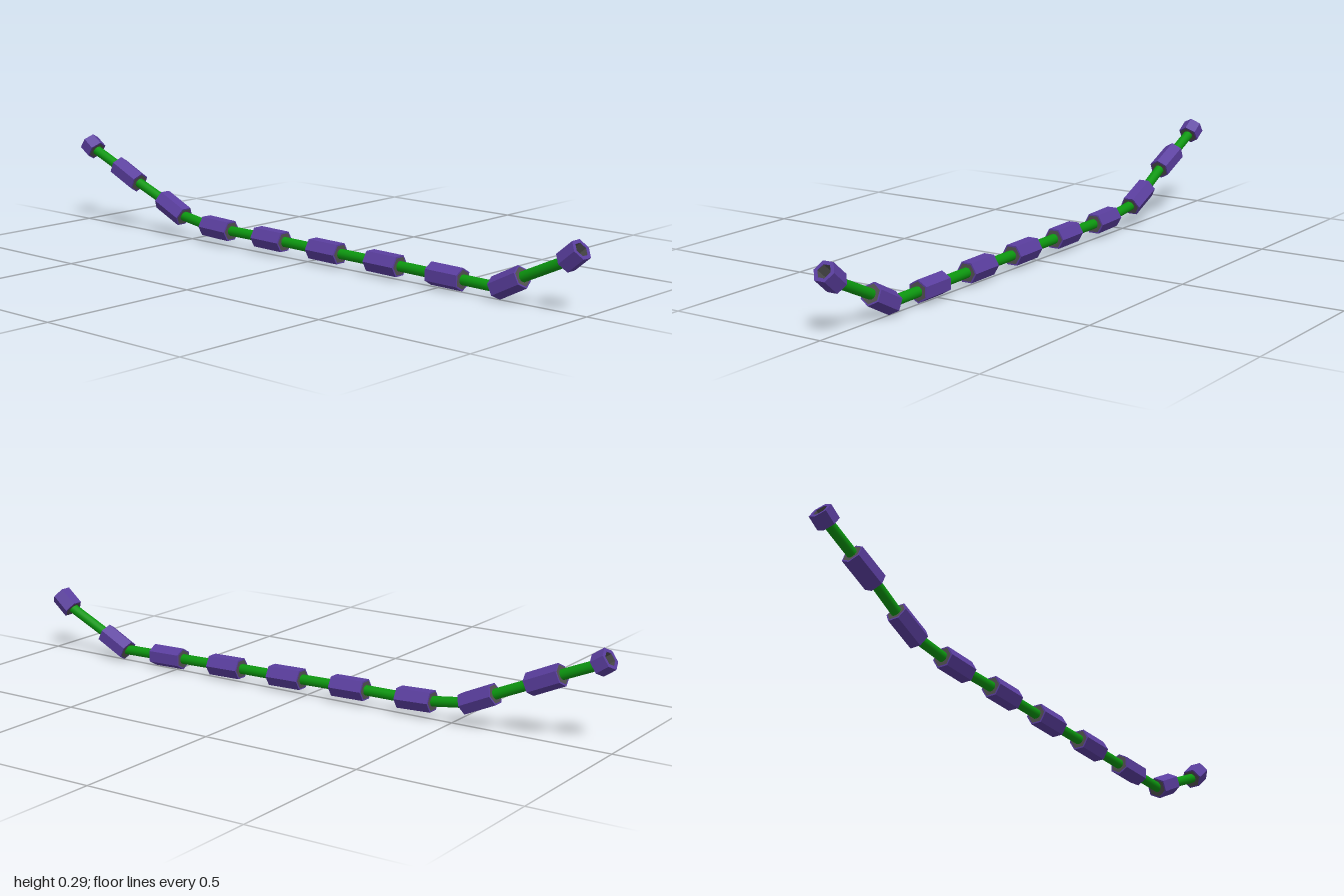
import * as THREE from 'three';

const purple = new THREE.MeshStandardMaterial({ color: 0x5a3e9e });
purple.name = 'purple shell';
const green = new THREE.MeshStandardMaterial({ color: 0x0c960f });
green.name = 'green rod';
const grey = new THREE.MeshStandardMaterial({ color: 0x505050, side: THREE.DoubleSide, flatShading: true });
grey.name = 'grey lining';

const OUTER = 0.034, INNER = 0.022, COLLAR = 0.029, ROD = 0.0155;

// Each sleeve: x, y, z, pitch in degrees, length, roll in degrees (30 puts a corner on top)
const SLEEVES = [
  [0, 0.157, 0.953, -40, 0.065, 0],
  [0, 0.052, 0.745, -27, 0.1, 30],
  [0, 0.036, 0.53, 1, 0.112, 30],
  [0, 0.04, 0.302, 1, 0.112, 0],
  [0, 0.043, 0.075, 1, 0.112, 0],
  [0, 0.047, -0.152, 1, 0.112, 0],
  [0, 0.05, -0.38, 2, 0.112, 0],
  [0.004, 0.087, -0.59, 24, 0.108, 0],
  [-0.005, 0.174, -0.791, 24, 0.108, 30],
  [-0.009, 0.249, -0.961, 34, 0.044, 30],
];

function hexagon(radius, Type) {
  const points = [];
  for (let i = 0; i < 6; i++) {
    const a = i * Math.PI / 3;
    points.push(new THREE.Vector2(radius * Math.cos(a), radius * Math.sin(a)));
  }
  return new Type(points);
}

// Hollow six-sided sleeve along z, with a dark lining and a dark collar where a rod enters
function makeSleeve([x, y, z, pitch, length, roll], index) {
  const group = new THREE.Group();
  group.name = 'sleeve';
  const shape = hexagon(OUTER, THREE.Shape);
  shape.holes.push(hexagon(INNER, THREE.Path));
  const shellGeometry = new THREE.ExtrudeGeometry(shape, { depth: length, bevelEnabled: false });
  shellGeometry.translate(0, 0, -length / 2);
  const shell = new THREE.Mesh(shellGeometry, purple);
  shell.name = 'sleeveShell';

  const liningGeometry = new THREE.CylinderGeometry(INNER - 0.0006, INNER - 0.0006, length - 0.002, 6, 1, true);
  liningGeometry.rotateY(Math.PI / 6).rotateX(Math.PI / 2);
  const lining = new THREE.Mesh(liningGeometry, grey);
  lining.name = 'sleeveLining';
  group.add(shell, lining);

  for (const side of [1, -1]) {
    const hasRod = side > 0 ? index > 0 : index < SLEEVES.length - 1;
    if (!hasRod) continue;
    const collar = new THREE.Mesh(new THREE.RingGeometry(ROD * 0.9, COLLAR, 6), grey);
    collar.name = 'rodCollar';
    collar.position.z = side * (length / 2 + 0.0008);
    group.add(collar);
  }

  group.position.set(x, y, z);
  group.rotation.set(THREE.MathUtils.degToRad(pitch), 0, THREE.MathUtils.degToRad(roll), 'YXZ');
  return group;
}

// Straight rod between two points
function makeRod(from, to) {
  const axis = to.clone().sub(from);
  const rod = new THREE.Mesh(new THREE.CylinderGeometry(ROD, ROD, axis.length(), 14), green);
  rod.name = 'rod';
  rod.position.copy(from).add(to).multiplyScalar(0.5);
  rod.quaternion.setFromUnitVectors(new THREE.Vector3(0, 1, 0), axis.normalize());
  return rod;
}

export function createModel() {
  const model = new THREE.Group();
  model.name = 'segmentedChain';
  const sleeves = SLEEVES.map(makeSleeve);
  model.add(...sleeves);

  // Rods run from just inside one sleeve to just inside the next
  const mouth = (i, side) => new THREE.Vector3(0, 0, side * (SLEEVES[i][4] / 2 - 0.008))
    .applyEuler(sleeves[i].rotation).add(sleeves[i].position);
  for (let i = 0; i < sleeves.length - 1; i++) model.add(makeRod(mouth(i, -1), mouth(i + 1, 1)));
  return model;
}
